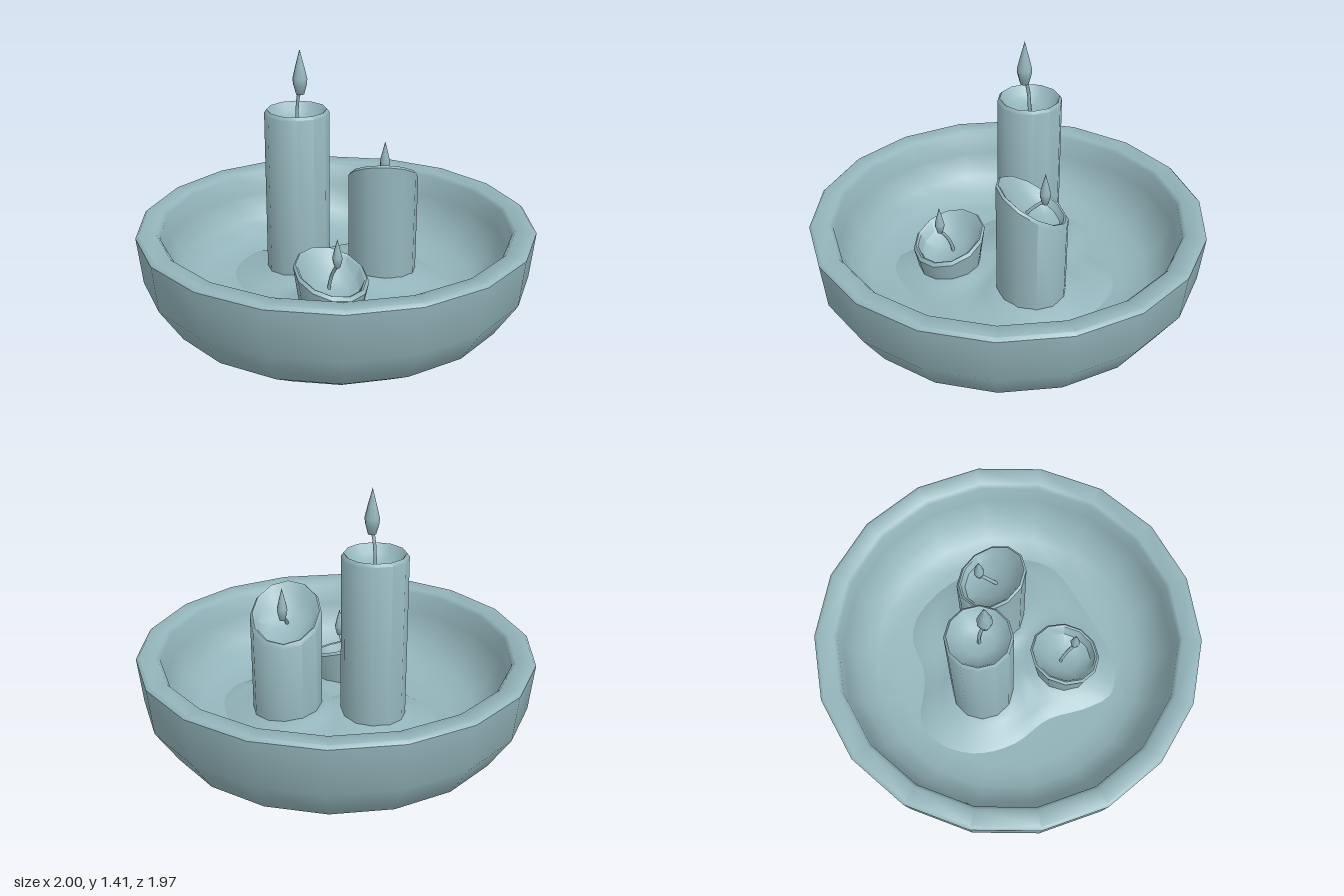
import * as THREE from 'three';
import { toCreasedNormals, mergeVertices } from 'three/addons/utils/BufferGeometryUtils.js';

const material = new THREE.MeshStandardMaterial({ color: 0x93b5bb });

function part(name, geometry, parent) {
  const mesh = new THREE.Mesh(geometry, material);
  mesh.name = name;
  parent.add(mesh);
  return mesh;
}

const lathe = (points, sides, start = 0) =>
  new THREE.LatheGeometry(points.map(([r, y]) => new THREE.Vector2(r, y)), sides, start);

// Candle positions, rims (with slope across x and z), wicks and flames
const FLOOR = 0.19;
const candles = [
  { name: 'tallCandle', x: -0.1, z: -0.21, r: 0.163, foot: 0.163, top: 1.1, slope: [0, 0], cup: 0.08,
    wick: [[-0.1, 1.0, -0.21], [-0.1, 1.17, -0.21], [-0.1, 1.2, -0.175]], flame: [0.038, 0.23, 1.18] },
  { name: 'slantedCandle', x: 0.255, z: 0.045, r: 0.178, foot: 0.175, top: 0.77, slope: [-0.34, 0.5], cup: 0.09,
    wick: [[0.225, 0.67, 0.085], [0.25, 0.73, 0.05], [0.295, 0.77, 0]], flame: [0.027, 0.17, 0.75] },
  { name: 'shortCandle', x: -0.18, z: 0.245, r: 0.185, foot: 0.15, top: 0.41, slope: [-0.06, -0.36], cup: 0.11,
    wick: [[-0.18, 0.29, 0.22], [-0.18, 0.39, 0.23], [-0.18, 0.46, 0.3]], flame: [0.025, 0.15, 0.45] },
];

// Straight candle with a hollowed top; only the upper rings follow the slope
function candleGeometry({ r, foot, top, slope, cup }) {
  const g = lathe([
    [foot, FLOOR], [r, top - 0.015], [r - 0.012, top], [r * 0.88, top - 0.006],
    [r * 0.76, top - cup * 0.55], [r * 0.45, top - cup * 0.9], [0, top - cup],
  ], 12);
  const p = g.attributes.position;
  for (let i = 0; i < p.count; i++) {
    if (p.getY(i) > FLOOR + 0.001) {
      p.setY(i, p.getY(i) + slope[0] * p.getX(i) + slope[1] * p.getZ(i));
    }
  }
  return toCreasedNormals(g, 0.75);
}

function addCandle(spec, parent) {
  const group = new THREE.Group();
  group.name = spec.name;
  parent.add(group);
  part('candleBody', candleGeometry(spec), group).position.set(spec.x, 0, spec.z);

  const path = new THREE.QuadraticBezierCurve3(...spec.wick.map(v => new THREE.Vector3(...v)));
  part('wick', new THREE.TubeGeometry(path, 6, 0.009, 6), group);

  const [r, h, y] = spec.flame;
  const flame = lathe([
    [0, 0], [r * 0.55, h * 0.02], [r * 0.92, h * 0.24], [r, h * 0.36],
    [r * 0.62, h * 0.62], [0, h],
  ], 8);
  part('flame', flame, group).position.set(path.v2.x, y, path.v2.z);
}

// Puddle of melted wax: a disc stretched to an irregular outline and domed
function waxGeometry() {
  const outline = new THREE.CatmullRomCurve3([
    [0.57, 0.05], [0.56, -0.13], [0.48, -0.33], [0.37, -0.42], [0.17, -0.45], [0.06, -0.51],
    [-0.05, -0.59], [-0.15, -0.61], [-0.28, -0.55], [-0.4, -0.41], [-0.45, -0.2], [-0.42, 0.02],
    [-0.47, 0.25], [-0.47, 0.4], [-0.38, 0.49], [-0.2, 0.53], [0.1, 0.535], [0.35, 0.51],
    [0.47, 0.42], [0.54, 0.25],
  ].map(([x, z]) => new THREE.Vector3(x, 0, z)), true);
  const n = 60, rings = 10;
  const g = new THREE.RingGeometry(0, 1, n, rings);
  const p = g.attributes.position;
  for (let i = 0; i < p.count; i++) {
    const edge = outline.getPointAt((i % (n + 1)) / n);
    const s = Math.floor(i / (n + 1)) / rings;
    const x = 0.04 + (edge.x - 0.04) * s, z = edge.z * s;
    let y = FLOOR - 0.01 + 0.055 * Math.sqrt(1 - s * s);
    // wax heaps up around each candle
    for (const c of candles) {
      const d = Math.max(0, Math.hypot(x - c.x, z - c.z) - c.foot);
      y += 0.035 * (1 - s ** 4) * Math.exp(-((d / 0.07) ** 2));
    }
    p.setXYZ(i, x, y, z);
  }
  g.deleteAttribute('uv');
  g.deleteAttribute('normal');
  const merged = mergeVertices(g, 1e-5);
  merged.computeVertexNormals();
  return merged;
}

export function createModel() {
  const model = new THREE.Group();
  model.name = 'candleBowl';

  // Eighteen-sided bowl: recessed underside, outer wall, lip, inner wall, floor
  const bowl = lathe([
    [0, 0.17], [0.665, 0.17], [0.665, 0],
    [0.862, 0.125], [0.975, 0.3], [1, 0.54], [0.985, 0.555],
    [0.9, 0.55], [0.882, 0.53], [0.87, 0.42], [0.81, 0.29], [0.72, 0.215], [0.6, FLOOR], [0, FLOOR],
  ], 18, Math.PI / 18);
  part('bowl', toCreasedNormals(bowl, 0.85), model);

  part('meltedWax', waxGeometry(), model);
  candles.forEach(c => addCandle(c, model));
  return model;
}
